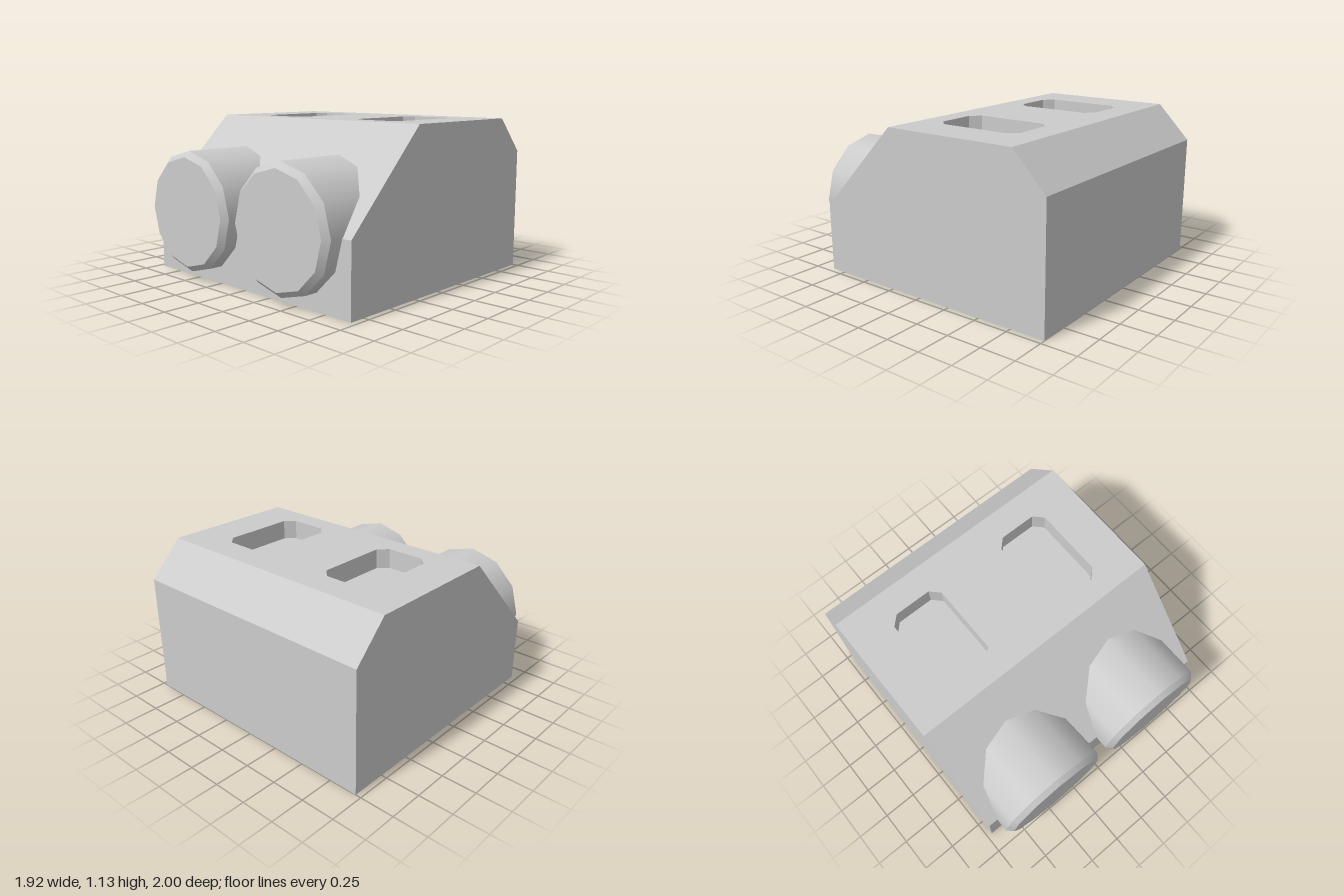
import * as THREE from 'three';

const TOP = 1.13, HALF_WIDTH = 0.96, DECK_BACK = -0.76, DECK_FRONT = 0.23;
const POCKET_DEPTH = 0.14;
const material = new THREE.MeshStandardMaterial({ color: 0xcccccc });

function addMesh(parent, geometry, name) {
  const mesh = new THREE.Mesh(geometry, material);
  mesh.name = name;
  parent.add(mesh);
  return mesh;
}

// Removes the upward-facing triangles, optionally turning the rest inside out
function openTop(geometry, insideOut = false) {
  const source = geometry.index ? geometry.toNonIndexed() : geometry;
  const p = source.attributes.position;
  const points = [], tri = new THREE.Triangle(), normal = new THREE.Vector3();
  for (let i = 0; i < p.count; i += 3) {
    tri.setFromAttributeAndIndices(p, i, i + 1, i + 2);
    if (tri.getNormal(normal).y > 0.99) continue;
    points.push(...(insideOut ? [tri.a, tri.c, tri.b] : [tri.a, tri.b, tri.c]).map(v => v.clone()));
  }
  const result = new THREE.BufferGeometry().setFromPoints(points);
  result.computeVertexNormals();
  return result;
}

// Closed outline from x, y pairs
const outline = (pairs) => pairs.map(([x, y]) => new THREE.Vector2(x, y));

// Rectangle with cut corners, drawn in x and -z
function pocketOutline(cx) {
  const x0 = cx - 0.2, x1 = cx + 0.2, y0 = -0.08, y1 = 0.56, c = 0.065;
  return outline([
    [x0 + c, y0], [x1 - c, y0], [x1, y0 + c], [x1, y1 - c],
    [x1 - c, y1], [x0 + c, y1], [x0, y1 - c], [x0, y0 + c],
  ]);
}

function makeLamp(side) {
  const lamp = new THREE.Group();
  lamp.name = side > 0 ? 'leftLamp' : 'rightLamp';
  lamp.position.set(side * 0.463, 0.493, 0);

  // Smooth twelve-sided barrel running into the sloped front
  const barrel = new THREE.CylinderGeometry(0.427, 0.427, 0.56, 12, 1, true);
  addMesh(lamp, barrel.rotateX(Math.PI / 2).translate(0, 0, 0.68), 'barrel');

  // Bevelled rim
  const rim = new THREE.CylinderGeometry(0.387, 0.427, 0.04, 12, 1, true);
  addMesh(lamp, rim.rotateX(Math.PI / 2).translate(0, 0, 0.98), 'rim');

  // Flat front face
  addMesh(lamp, new THREE.CircleGeometry(0.387, 12).translate(0, 0, 1), 'lampFace');
  return lamp;
}

export function createModel() {
  const model = new THREE.Group();
  model.name = 'doubleLampBlock';

  // Block with sloped front and bevelled back; side profile in -z and y
  const profile = new THREE.Shape(outline([
    [-0.865, 0], [1, 0], [1, 0.88], [-DECK_BACK, TOP], [-DECK_FRONT, TOP], [-0.865, 0.49],
  ]));
  const block = new THREE.ExtrudeGeometry(profile, { depth: 2 * HALF_WIDTH, bevelEnabled: false });
  block.rotateY(Math.PI / 2).translate(-HALF_WIDTH, 0, 0);
  addMesh(model, openTop(block), 'body');

  // Top deck with two openings
  const deck = new THREE.Shape(outline([
    [-HALF_WIDTH, -DECK_FRONT], [HALF_WIDTH, -DECK_FRONT],
    [HALF_WIDTH, -DECK_BACK], [-HALF_WIDTH, -DECK_BACK],
  ]));

  for (const side of [-1, 1]) {
    const points = pocketOutline(side * 0.463);
    deck.holes.push(new THREE.Path(points));

    // Pocket walls and floor
    const pocket = new THREE.ExtrudeGeometry(new THREE.Shape(points), { depth: POCKET_DEPTH, bevelEnabled: false });
    pocket.rotateX(-Math.PI / 2).translate(0, TOP - POCKET_DEPTH, 0);
    addMesh(model, openTop(pocket, true), side > 0 ? 'leftPocket' : 'rightPocket');

    model.add(makeLamp(side));
  }

  const deckGeometry = new THREE.ShapeGeometry(deck);
  addMesh(model, deckGeometry.rotateX(-Math.PI / 2).translate(0, TOP, 0), 'topDeck');
  return model;
}
